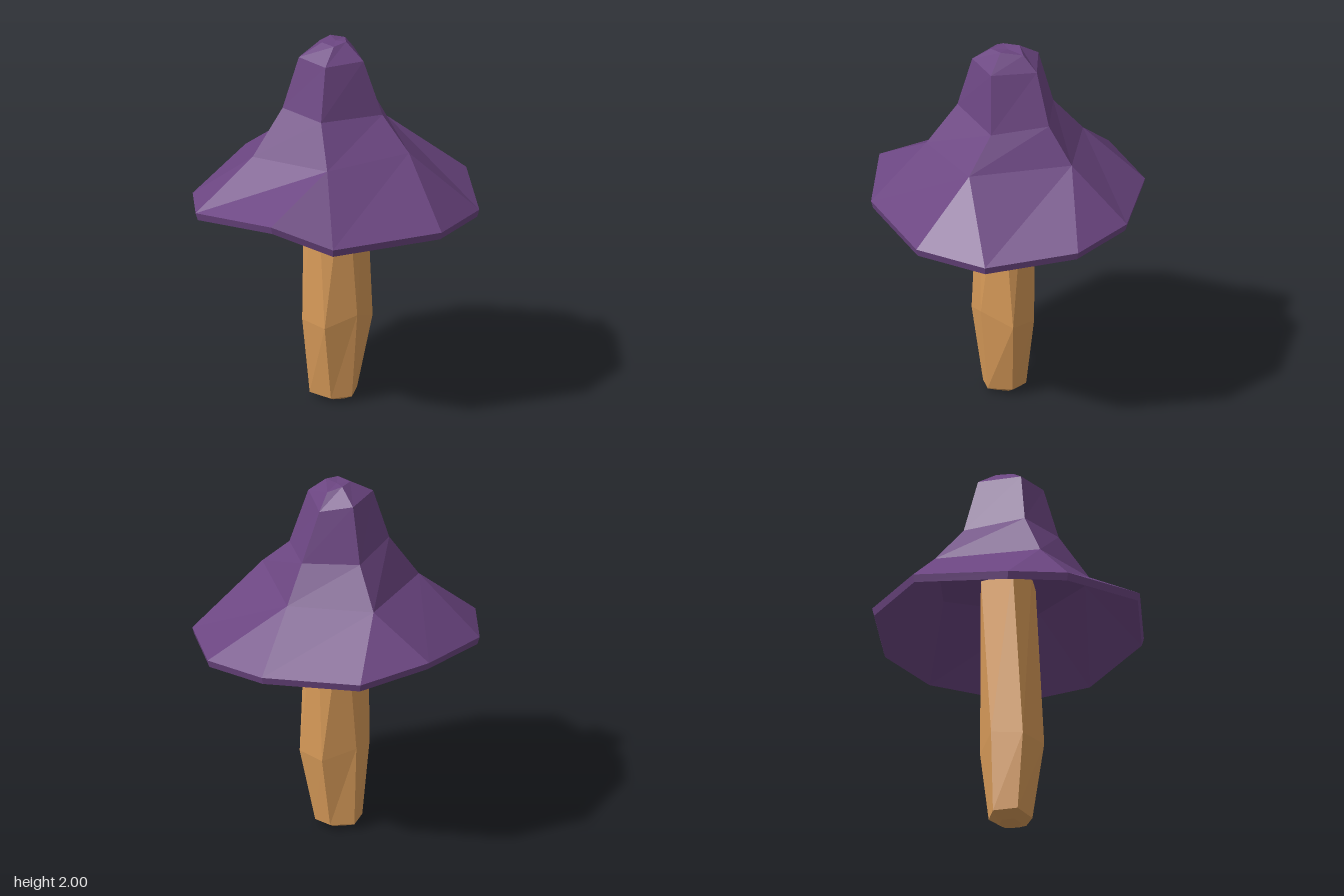
import * as THREE from 'three';

// Closed faceted skin through rings of [x, y, z] points, from first to last
function loft(rings) {
  const pos = [];
  const tri = (a, b, c) => {
    const va = new THREE.Vector3(...a), vb = new THREE.Vector3(...b), vc = new THREE.Vector3(...c);
    if (vb.sub(va).cross(vc.sub(va)).length() > 1e-7) pos.push(...a, ...b, ...c);
  };
  const n = rings[0].length;
  const centre = r => [0, 1, 2].map(k => r.reduce((s, p) => s + p[k], 0) / n);
  const first = rings[0], last = rings[rings.length - 1];
  for (let i = 0; i < n; i++) {
    const j = (i + 1) % n;
    for (let r = 0; r < rings.length - 1; r++) {
      const a = rings[r], b = rings[r + 1];
      tri(a[j], a[i], b[i]);
      tri(a[j], b[i], b[j]);
    }
    tri(first[i], first[j], centre(first));
    tri(last[j], last[i], centre(last));
  }
  const g = new THREE.BufferGeometry();
  g.setAttribute('position', new THREE.Float32BufferAttribute(pos, 3));
  g.computeVertexNormals();
  return g;
}

// Each point twice, so a five-sided ring joins the ten-sided rim
const twice = ring => ring.flatMap(p => [p, p]);
const shift = (ring, s, dy) => ring.map(([x, y, z]) => [x * s, y + dy, z * s]);

export function createModel() {
  const purple = new THREE.MeshStandardMaterial({ color: 0x6c4682 });
  purple.name = 'purple cap';
  const tan = new THREE.MeshStandardMaterial({ color: 0xd89b59 });
  tan.name = 'tan stem';

  // Cap: ten-sided wavy rim narrowing to a five-sided crown
  const rim = [
    [0.01, 1.20, -0.73], [0.40, 1.165, -0.61], [0.70, 1.165, -0.18], [0.72, 1.14, 0.20],
    [0.43, 1.09, 0.60], [0.04, 1.10, 0.72], [-0.53, 1.09, 0.49], [-0.73, 1.20, 0.23],
    [-0.73, 1.12, -0.34], [-0.52, 1.11, -0.58],
  ];
  const slope = [[0.12, 1.43, -0.43], [0.40, 1.44, -0.07], [0.11, 1.44, 0.40], [-0.35, 1.42, 0.26], [-0.43, 1.39, -0.22]];
  const neck = [[0.06, 1.63, -0.27], [0.26, 1.63, -0.04], [0.09, 1.61, 0.22], [-0.26, 1.63, 0.12], [-0.27, 1.64, -0.16]];
  const shoulder = [[0.03, 1.93, -0.19], [0.15, 1.90, -0.06], [0.02, 1.91, 0.15], [-0.19, 1.91, 0.08], [-0.20, 1.92, -0.11]];
  const crown = [[0, 2, -0.08], [0.07, 1.98, -0.04], [-0.01, 2, 0.05], [-0.09, 1.99, 0.04], [-0.09, 1.99, -0.05]];
  const cap = new THREE.Mesh(loft([
    twice(shift(slope, 0.95, -0.05)), // hollow underside
    shift(rim, 0.985, -0.04),
    rim,
    ...[slope, neck, shoulder, crown].map(twice),
  ]), purple);
  cap.name = 'cap';

  // Stem: slightly twisted six-sided column with a bulge and a bevelled foot
  const base = [[-0.03, 0.03, -0.14], [0.07, 0.035, -0.06], [0.075, 0.035, 0.045], [-0.035, 0.03, 0.12], [-0.13, 0.025, 0.06], [-0.15, 0.03, -0.08]];
  const foot = base.map(([x, , z]) => [-0.03 + (x + 0.03) * 0.5, 0, z * 0.5]);
  const bulge = [[-0.03, 0.48, -0.155], [0.13, 0.43, -0.06], [0.135, 0.44, 0.10], [-0.04, 0.50, 0.165], [-0.195, 0.44, 0.08], [-0.195, 0.45, -0.09]];
  const top = [[0.05, 1.4, -0.145], [0.12, 1.4, -0.01], [0.06, 1.4, 0.12], [-0.09, 1.4, 0.13], [-0.18, 1.4, 0], [-0.15, 1.4, -0.12]];
  const stem = new THREE.Mesh(loft([foot, base, bulge, top]), tan);
  stem.name = 'stem';

  const model = new THREE.Group();
  model.name = 'mushroom';
  model.add(cap, stem);
  return model;
}
